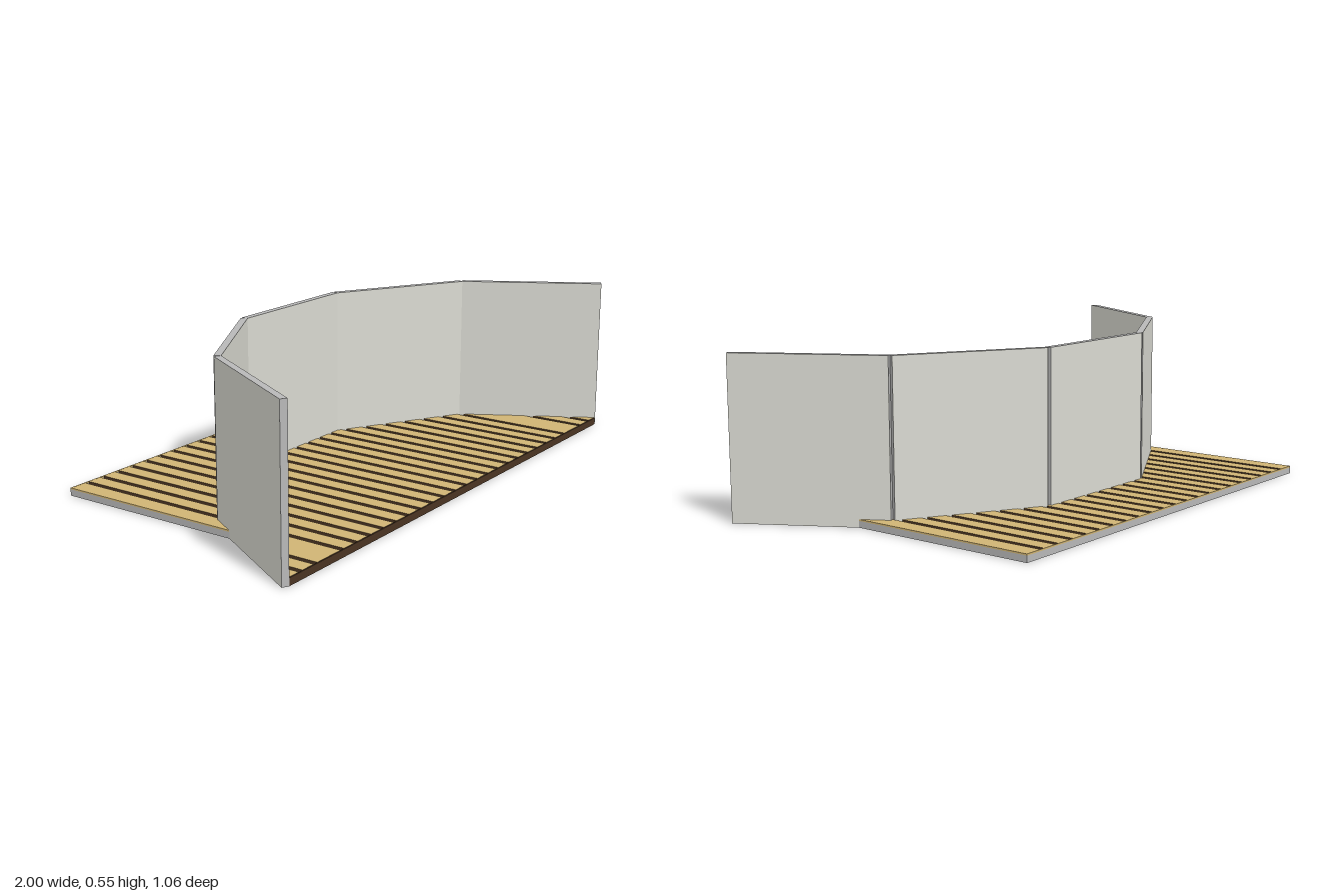
import * as THREE from 'three';

const mat = (name, color) => {
  const m = new THREE.MeshStandardMaterial({ color });
  m.name = name;
  return m;
};

export function createModel() {
  const panelMat = mat('panel warm white', 0xdadad2);
  const greyMat = mat('edge grey', 0xb8b8b8);
  const tanMat = mat('board tan', 0xd0b474);
  const brownMat = mat('underside dark brown', 0x4a3422);

  const group = new THREE.Group();
  const add = (name, geometry, material) => {
    const mesh = new THREE.Mesh(geometry, material);
    mesh.name = name;
    group.add(mesh);
    return mesh;
  };

  // Backdrop: five straight panels, meeting along their inner edges
  const L = 0.524, T = 0.024, H = 0.553, backWall = -0.19;
  let x = -L / 2 - L * Math.cos(Math.PI / 6) - L / 2;
  let z = backWall + L * (Math.sin(Math.PI / 6) + Math.sin(Math.PI / 3));
  for (const degrees of [-60, -30, 0, 30, 60]) {
    const a = THREE.MathUtils.degToRad(degrees);
    const geo = new THREE.BoxGeometry(L, H, T).translate(L / 2, H / 2, -T / 2);
    const panel = add('wallPanel', geo, [greyMat, greyMat, greyMat, greyMat, panelMat, panelMat]);
    panel.position.set(x, 0, z);
    panel.rotation.y = -a;
    x += L * Math.cos(a);
    z += L * Math.sin(a);
  }

  // Floor outline: a rectangle with a triangular wing reaching each end panel
  const HX = 0.787, BACK = -0.53, FRONT = 0.523, TIP = 0.976;
  const wingZ = (px) => Math.min(FRONT, 0.072 + (Math.abs(px) - 0.7158) * Math.sqrt(3));
  const slab = (points, y0, y1) => {
    const shape = new THREE.Shape(points.map(([px, pz]) => new THREE.Vector2(px, -pz)));
    return new THREE.ExtrudeGeometry(shape, { depth: y1 - y0, bevelEnabled: false })
      .rotateX(-Math.PI / 2).translate(0, y0, 0);
  };
  const outline = [
    [-HX, BACK], [HX, BACK], [HX, wingZ(HX)], [TIP, FRONT],
    [-TIP, FRONT], [-HX, wingZ(HX)],
  ];
  const grooveY = 0.015, topY = 0.027;
  add('floorUnderside', slab(outline, 0, 0.003), brownMat);
  add('floorBase', slab(outline, 0.003, grooveY), [tanMat, greyMat]);

  // Boards running front to back, with narrow dark-sided grooves between them
  const count = 22, pitch = (2 * HX) / count, gap = 0.018;
  const boardMats = [tanMat, brownMat];
  for (let i = 0; i < count; i++) {
    const a = -HX + i * pitch + (i ? gap / 2 : 0);
    const b = -HX + (i + 1) * pitch - (i < count - 1 ? gap / 2 : 0);
    add('floorBoard', slab([[a, BACK], [b, BACK], [b, FRONT], [a, FRONT]], grooveY, topY), boardMats);
  }

  // Shorter boards in the two wings, cut along the panels
  for (const side of [-1, 1]) {
    for (let a = HX; a < TIP - 0.01; a += pitch) {
      const b = Math.min(a + pitch - gap, TIP);
      const points = [[side * a, wingZ(a)], [side * b, wingZ(b)]];
      if (b < TIP) points.push([side * b, FRONT]);
      points.push([side * a, FRONT]);
      add('wingBoard', slab(points, grooveY, topY), boardMats);
    }
  }

  // Edge trims: grey with a tan lip at the sides and back, dark along the front
  const trim = (name, w, y0, y1, d, px, pz, material) =>
    add(name, new THREE.BoxGeometry(w, y1 - y0, d).translate(px, (y0 + y1) / 2, pz), material);
  const lipY = 0.022, sideEnd = 0.16;
  for (const [part, y0, y1, m] of [['Trim', 0, lipY, greyMat], ['Lip', lipY, topY + 0.0003, tanMat]]) {
    for (const side of [-1, 1]) {
      trim('side' + part, 0.004, y0, y1, sideEnd - BACK, side * HX, (sideEnd + BACK) / 2, m);
    }
    trim('back' + part, 2 * HX + 0.004, y0, y1, 0.004, 0, BACK, m);
  }
  trim('frontTrim', 2 * TIP, 0, 0.025, 0.004, 0, FRONT, brownMat);

  return group;
}
